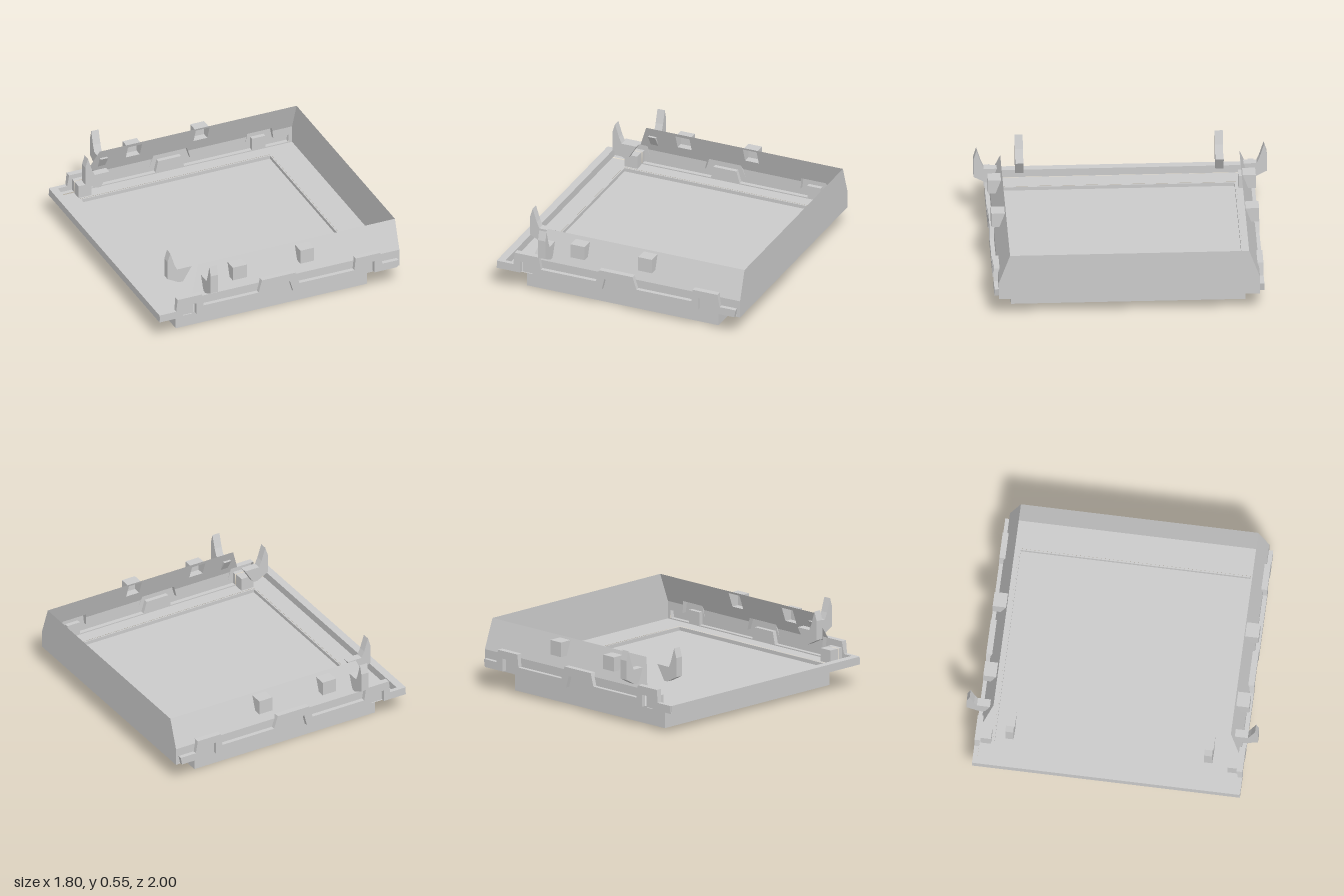
import * as THREE from 'three';

const mat = new THREE.MeshStandardMaterial({ color: 0xcccccc, flatShading: true, side: THREE.DoubleSide });

// Side walls rise straight, then lean inwards above the kink
const KINK = 0.27, TOP = 0.475, SIDE = 0.89, TOPSIDE = 0.815;
const wallZ = (y) => (y <= KINK ? SIDE : SIDE - ((y - KINK) / (TOP - KINK)) * (SIDE - TOPSIDE));

const vecs = (pts) => pts.map(([x, y]) => new THREE.Vector2(x, y));
const rect = (x0, y0, x1, y1) => [[x0, y0], [x1, y0], [x1, y1], [x0, y1]];

function makeShape(pts, holes = []) {
  const shape = new THREE.Shape(vecs(pts));
  for (const h of holes) shape.holes.push(new THREE.Path(vecs(h)));
  return shape;
}

function add(parent, name, geometry, x = 0, y = 0, z = 0) {
  const mesh = new THREE.Mesh(geometry, mat);
  mesh.name = name;
  mesh.position.set(x, y, z);
  parent.add(mesh);
  return mesh;
}

// Flat panel laid onto the side wall surface
function panel(pts, holes) {
  const g = new THREE.ShapeGeometry(makeShape(pts, holes));
  const p = g.attributes.position;
  for (let i = 0; i < p.count; i++) p.setZ(i, wallZ(p.getY(i)));
  g.computeVertexNormals();
  return g;
}

// Skirt joining an outline at zOut back to the wall surface
function skirt(pts, zOut) {
  const pos = [];
  pts.forEach(([x0, y0], i) => {
    const [x1, y1] = pts[(i + 1) % pts.length];
    const a = [x0, y0, wallZ(y0)], b = [x1, y1, wallZ(y1)];
    const c = [x1, y1, zOut], d = [x0, y0, zOut];
    pos.push(...a, ...b, ...c, ...a, ...c, ...d);
  });
  const g = new THREE.BufferGeometry();
  g.setAttribute('position', new THREE.Float32BufferAttribute(pos, 3));
  g.computeVertexNormals();
  return g;
}

// Hollow pocket pushed outwards from the wall
function pocket(parent, name, pts, zOut) {
  const group = new THREE.Group();
  group.name = name;
  add(group, name + 'Face', new THREE.ShapeGeometry(makeShape(pts)), 0, 0, zOut);
  add(group, name + 'Edges', skirt(pts, zOut));
  parent.add(group);
}

// Horizontal slab from an outline in x and z
function slab(pts, holes, depth) {
  const g = new THREE.ExtrudeGeometry(makeShape(pts, holes), { depth, bevelEnabled: false });
  return g.rotateX(-Math.PI / 2);
}

// Claw profile: u points outwards
const claw = [[0.57, 0.405], [0.68, 0.405], [0.70, 0.45], [0.73, 0.545], [0.75, 0.48],
  [0.75, 0.345], [0.665, 0.30], [0.635, 0.30]];
const clawGeometry = (w) => new THREE.ExtrudeGeometry(makeShape(claw), { depth: w, bevelEnabled: false })
  .translate(0, 0, -w / 2);

function buildSide() {
  const side = new THREE.Group();

  // Stepped trim strip with arches
  const trim = [[-0.905, 0.155], [-0.9, 0.21], [-0.78, 0.21], [-0.77, 0.30], [-0.59, 0.30], [-0.575, 0.21],
    [-0.165, 0.21], [-0.14, 0.30], [0.11, 0.30], [0.14, 0.21], [0.55, 0.21], [0.56, 0.30],
    [0.745, 0.30], [0.76, 0.21], [0.88, 0.21], [0.87, 0.155], [0.70, 0.155], [0.70, 0.245],
    [0.60, 0.245], [0.60, 0.155], [0.095, 0.155], [0.07, 0.24], [-0.10, 0.24], [-0.12, 0.155],
    [-0.63, 0.155], [-0.63, 0.24], [-0.73, 0.24], [-0.73, 0.155]];
  pocket(side, 'trim', trim, 0.92);

  // Lower wall pieces around the trim
  const lower = [
    rect(-0.65, 0.145, 0.9, 0.155),
    [[-0.12, 0.155], [0.095, 0.155], [0.07, 0.24], [-0.10, 0.24]],
    rect(0.60, 0.155, 0.70, 0.245),
    [[-0.575, 0.21], [-0.165, 0.21], [-0.148, KINK], [-0.585, KINK]],
    [[0.14, 0.21], [0.55, 0.21], [0.557, KINK], [0.12, KINK]],
    [[0.76, 0.21], [0.9, 0.21], [0.9, KINK], [0.75, KINK]],
    rect(0.875, 0.155, 0.9, 0.21),
  ];
  for (const pts of lower) add(side, 'lowerWall', panel(pts));

  // Leaning upper wall, notched over the trim, open behind the lugs
  const lugs = [rect(-0.355, 0.35, -0.25, 0.45), rect(0.15, 0.357, 0.253, 0.46)];
  const upper = [[-0.64, 0.30], [-0.59, 0.30], [-0.585, KINK], [-0.148, KINK], [-0.14, 0.30], [0.11, 0.30],
    [0.12, KINK], [0.557, KINK], [0.56, 0.30], [0.745, 0.30], [0.75, KINK], [0.9, KINK],
    [0.9, TOP], [-0.57, TOP]];
  add(side, 'upperWall', panel(upper, lugs));
  for (const pts of lugs) pocket(side, 'lug', pts, 0.913);

  // Corner stop and the two claws
  add(side, 'cornerStop', new THREE.BoxGeometry(0.095, 0.095, 0.07), -0.682, 0.1925, 0.847);
  const outer = add(side, 'sideClaw', clawGeometry(0.055), -0.532, 0, 0.25);
  outer.rotation.y = -Math.PI / 2;
  const end = add(side, 'endClaw', clawGeometry(0.055), 0, 0, 0.682);
  end.rotation.y = Math.PI;
  return side;
}

export function createModel() {
  const model = new THREE.Group();
  model.name = 'tray';

  // Base block, recessed above and below
  const base = rect(-0.73, -0.8, 0.7, 0.8);
  add(model, 'baseFrame', slab(base, [rect(-0.65, -0.72, 0.62, 0.72)], 0.12));
  add(model, 'basePanel', new THREE.BoxGeometry(1.27, 0.07, 1.44), -0.015, 0.085, 0);
  add(model, 'baseRim', slab(base, [rect(-0.72, -0.79, 0.69, 0.79)], 0.025), 0, 0.12, 0);

  // Floor plate around the recess
  const floor = new THREE.ShapeGeometry(makeShape(rect(-0.86, -0.89, 0.9, 0.89), [base]));
  add(model, 'floor', floor.rotateX(-Math.PI / 2), 0, 0.147, 0);

  // Low lip on the open end, tall wall on the closed end
  add(model, 'endLip', new THREE.BoxGeometry(0.055, 0.055, 1.83), -0.8775, 0.1825, 0);
  const wall = new THREE.ShapeGeometry(makeShape([[-SIDE, 0.145], [SIDE, 0.145], [SIDE, KINK],
    [TOPSIDE, TOP], [-TOPSIDE, TOP], [-SIDE, KINK]]));
  add(model, 'endWall', wall.rotateY(Math.PI / 2), 0.9, 0, 0);

  // Matching side walls
  for (const s of [1, -1]) {
    const side = buildSide();
    side.name = s > 0 ? 'frontSide' : 'backSide';
    side.scale.z = s;
    model.add(side);
  }
  return model;
}
